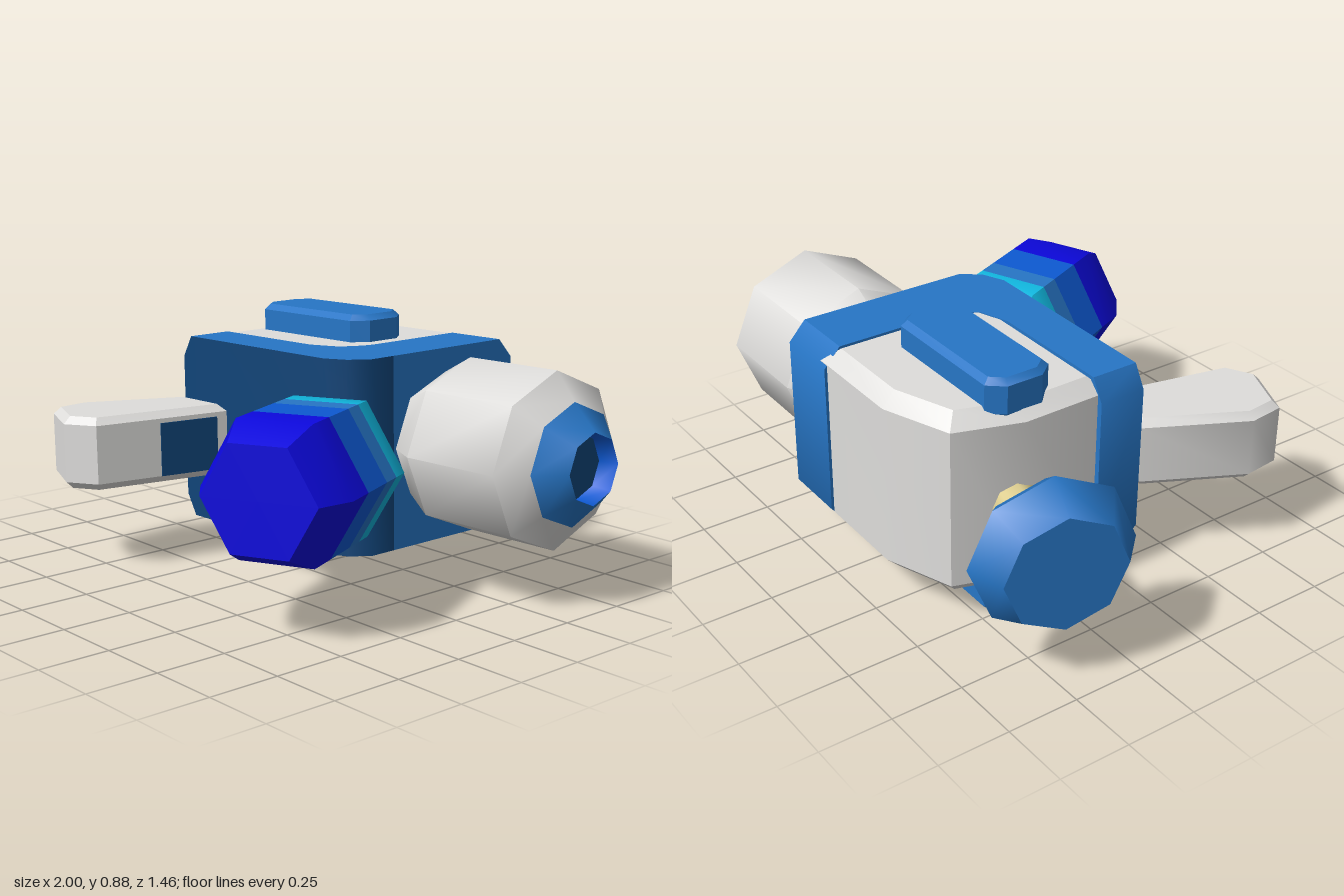
import * as THREE from 'three';
import { toCreasedNormals } from 'three/addons/utils/BufferGeometryUtils.js';

const paint = (name, color) => {
  const m = new THREE.MeshStandardMaterial({ color });
  m.name = name;
  return m;
};

export function createModel() {
  const white = paint('white', 0xdedddb);
  const blue = paint('blue', 0x2776c6);
  const navy = paint('navy', 0x114478);
  const cobalt = paint('cobalt', 0x0d59d2);
  const deepBlue = paint('deepBlue', 0x0c08dc);
  const cyan = paint('cyan', 0x10b6de);
  const tan = paint('tan', 0xe0d092);

  const model = new THREE.Group();
  model.name = 'gadget';
  const tilt = new THREE.Group();
  tilt.name = 'tiltedAssembly';
  // slight roll about the middle of the body
  const roll = 0.021, pivot = 0.45;
  tilt.rotation.z = roll;
  tilt.position.set(pivot * Math.sin(roll), pivot * (1 - Math.cos(roll)), 0);
  model.add(tilt);

  const add = (name, geo, mat, parent = tilt) => {
    const mesh = new THREE.Mesh(geo, mat);
    mesh.name = name;
    parent.add(mesh);
    return mesh;
  };

  // faceted turned part: profile of [radius, distance along axis], axis turned by yaw from +z
  const turned = (name, profile, sides, yaw, [x, y, z], mat) => {
    const pts = profile.map(([r, t]) => new THREE.Vector2(r, t));
    const geo = new THREE.LatheGeometry(pts, sides, Math.PI / 2);
    geo.rotateX(Math.PI / 2).rotateY(yaw).translate(x, y, z);
    return add(name, toCreasedNormals(geo, 0.85), mat);
  };

  // plan outline of [x, z] raised from y0 to y1 with bevelled rims
  const slab = (name, outline, y0, y1, bevel, mat) => {
    const shape = new THREE.Shape(outline.map(([x, z]) => new THREE.Vector2(x, -z)));
    const geo = new THREE.ExtrudeGeometry(shape, {
      depth: y1 - y0 - 2 * bevel, bevelEnabled: true, bevelSegments: 1,
      bevelThickness: bevel, bevelSize: bevel, bevelOffset: -bevel,
    });
    geo.rotateX(-Math.PI / 2).translate(0, y0 + bevel, 0);
    return add(name, toCreasedNormals(geo, 0.6), mat);
  };

  // white inner body
  slab('body', [[-0.55, -0.05], [-0.555, -0.37], [-0.48, -0.6], [-0.24, -0.69],
    [0.14, -0.69], [0.14, -0.05]], 0.115, 0.782, 0.05, white);

  // L-shaped shell: stations of [outer x, outer z, inner x, inner z, half height]
  const stations = [
    [-0.57, 0.08, -0.57, -0.09, 0.26],
    [-0.525, 0.08, -0.525, -0.09, 0.337],
    [0.2, 0.08, -0.06, -0.09, 0.337],
    [0.28, 0.045, 0.05, -0.13, 0.337],
    [0.33, -0.02, 0.09, -0.2, 0.337],
    [0.33, -0.12, 0.1, -0.24, 0.337],
    [0.33, -0.64, 0.1, -0.64, 0.337],
    [0.33, -0.7, 0.1, -0.7, 0.27],
  ].map(([ox, oz, ix, iz, h]) => [
    [ox, 0.448 + h, oz], [ox, 0.448 - h, oz], [ix, 0.448 - h, iz], [ix, 0.448 + h, iz],
  ]);
  const positions = { shell: [], front: [] };
  const quad = (list, a, b, c, d) => list.push(...a, ...b, ...c, ...a, ...c, ...d);
  for (let i = 0; i < stations.length - 1; i++) {
    const s = stations[i], n = stations[i + 1];
    for (let k = 0; k < 4; k++) {
      const list = k === 0 && i < 5 ? positions.front : positions.shell;
      const j = (k + 1) % 4;
      quad(list, s[k], s[j], n[j], n[k]);
    }
  }
  const first = stations[0], last = stations[stations.length - 1];
  quad(positions.shell, first[0], first[3], first[2], first[1]);
  quad(positions.shell, last[0], last[1], last[2], last[3]);
  for (const [key, name, mat] of [['shell', 'cornerShell', blue], ['front', 'shellFront', navy]]) {
    const geo = new THREE.BufferGeometry();
    geo.setAttribute('position', new THREE.Float32BufferAttribute(positions[key], 3));
    add(name, toCreasedNormals(geo, 0.75), mat);
  }

  // top and bottom pads
  const pad = [[-0.525, -0.42], [-0.48, -0.475], [-0.01, -0.475], [0.035, -0.42],
    [0.035, -0.29], [-0.01, -0.235], [-0.48, -0.235], [-0.525, -0.29]];
  slab('topPad', pad, 0.74, 0.878, 0.02, blue);
  slab('bottomPad', pad, 0.012, 0.16, 0.02, blue);

  // octagonal side barrel with blue muzzle
  const side = [0.34, 0.468, -0.355];
  const right = Math.PI / 2;
  turned('sideBarrel', [[0, 0], [0.235, 0], [0.3, 0.12], [0.3, 0.5], [0.207, 0.575]],
    8, right, side, white);
  turned('muzzleRing', [[0.207, 0.575], [0.12, 0.66]], 8, right, side, blue);
  turned('muzzleWall', [[0.12, 0.66], [0.11, 0.59]], 8, right, side, cobalt);
  turned('muzzleFloor', [[0.11, 0.59], [0, 0.59]], 8, right, side, navy);

  // hexagonal banded barrel pointing forward
  const hexYaw = Math.atan2(0.4, 0.916);
  const hexBands = [
    ['barrelRear', cyan, [[0, 0], [0.177, 0], [0.26, 0.11], [0.26, 0.178]]],
    ['barrelRing', blue, [[0.26, 0.178], [0.26, 0.255]]],
    ['barrelMiddle', cobalt, [[0.26, 0.255], [0.26, 0.4]]],
    ['barrelFront', deepBlue, [[0.26, 0.4], [0.26, 0.515], [0.2, 0.63], [0, 0.63]]],
  ];
  for (const [name, mat, profile] of hexBands) {
    turned(name, profile, 6, hexYaw, [0.295, 0.457, 0.075], mat);
  }

  // rear side knob on a tan rod
  const knobYaw = Math.atan2(-0.963, -0.26);
  turned('knobRod', [[0, -0.06], [0.08, -0.06], [0.08, 0.24], [0, 0.24]],
    8, knobYaw, [-0.545, 0.435, -0.395], tan);
  turned('knob', [[0, 0], [0.217, 0], [0.272, 0.075], [0.2, 0.195], [0, 0.195]],
    8, knobYaw, [-0.755, 0.445, -0.447], blue);

  // tapered white nozzle at the front
  slab('nozzle', [[-0.54, 0.1], [-0.3, 0.1], [-0.4, 0.59], [-0.51, 0.65],
    [-0.7, 0.57], [-0.715, 0.44]], 0.31, 0.566, 0.025, white);
  const panel = add('nozzlePanel', new THREE.BoxGeometry(0.008, 0.19, 0.22), navy);
  panel.position.set(-0.33, 0.43, 0.247);
  panel.rotation.y = Math.atan2(-0.1, 0.49);

  return model;
}
